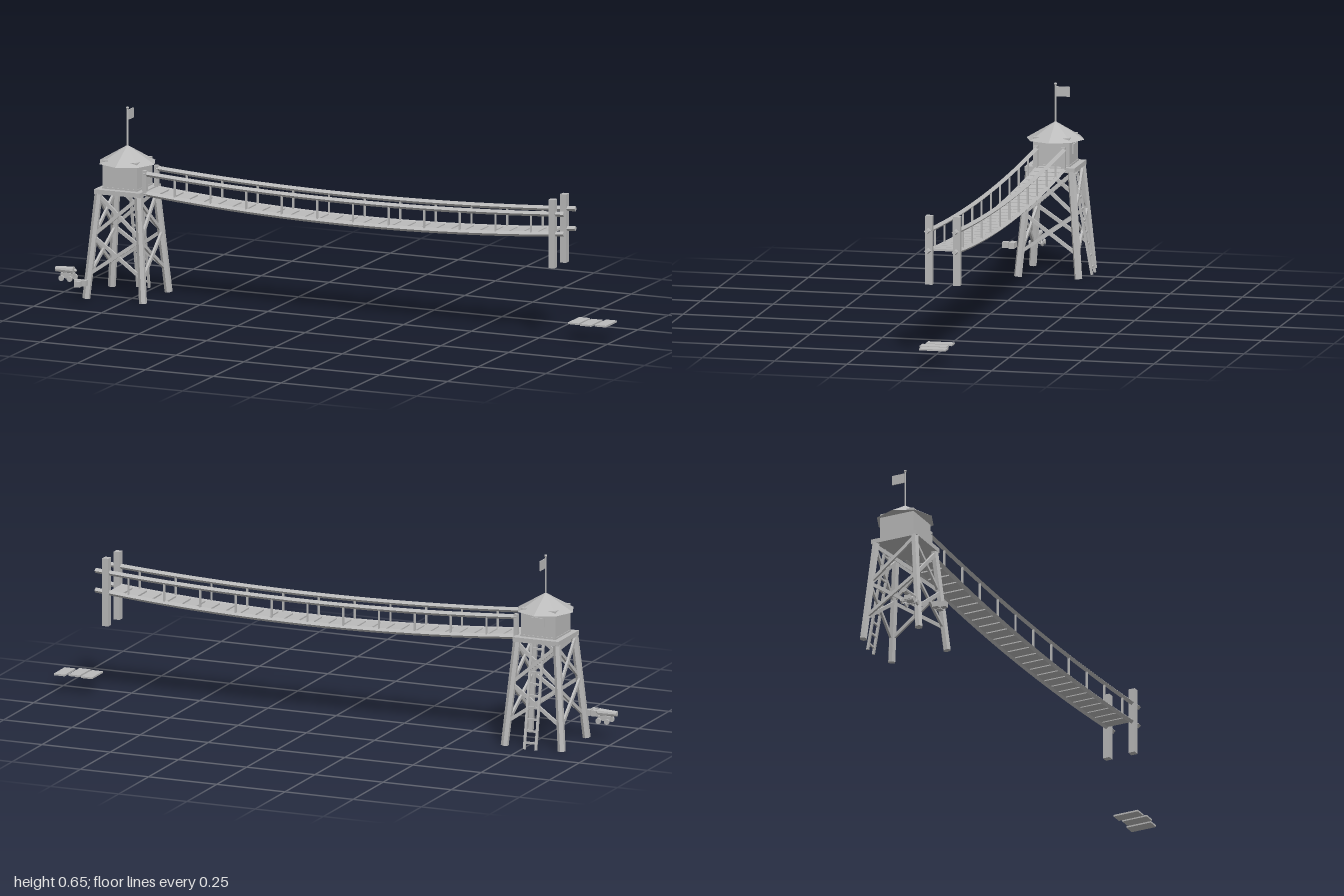
import * as THREE from 'three';

const grey = new THREE.MeshStandardMaterial({ color: 0xbbbbbb, flatShading: true });
grey.name = 'plain grey';
const V = (x, y, z) => new THREE.Vector3(x, y, z);

function add(parent, name, geometry, x = 0, y = 0, z = 0) {
  const m = new THREE.Mesh(geometry, grey);
  m.name = name;
  m.position.set(x, y, z);
  parent.add(m);
  return m;
}
const box = (parent, name, w, h, d, x, y, z) => add(parent, name, new THREE.BoxGeometry(w, h, d), x, y, z);

// Straight member between two points; sides = 0 gives a rectangular bar
function beam(parent, name, a, b, w, d = w, sides = 0) {
  const len = a.distanceTo(b);
  const geo = sides ? new THREE.CylinderGeometry(w / 2, w / 2, len, sides) : new THREE.BoxGeometry(w, len, d);
  const m = add(parent, name, geo);
  m.position.copy(a).add(b).multiplyScalar(0.5);
  m.quaternion.setFromUnitVectors(V(0, 1, 0), b.clone().sub(a).normalize());
  return m;
}

function buildTower() {
  const t = new THREE.Group();
  t.name = 'watchtower';
  t.position.set(-0.783, 0, -0.035);
  const spread = y => 0.1045 - 0.0315 * y / 0.36;

  // Splayed legs
  for (const sx of [-1, 1]) for (const sz of [-1, 1]) {
    const at = y => V(sx * spread(y), y, sz * spread(y));
    beam(t, 'leg', at(0), at(0.36), 0.027, 0.027, 6);
  }
  // Two tiers of cross bracing on each side
  for (let i = 0; i < 4; i++) {
    const side = new THREE.Group();
    side.name = 'braceSide';
    side.rotation.y = i * Math.PI / 2;
    t.add(side);
    for (const [y0, y1] of [[0.082, 0.21], [0.215, 0.352]]) for (const s of [-1, 1]) {
      beam(side, 'crossBrace', V(-s * spread(y0), y0, spread(y0) + s * 0.003),
        V(s * spread(y1), y1, spread(y1) + s * 0.003), 0.012, 0.008);
    }
  }
  // Platform, cabin and pointed roof
  box(t, 'platform', 0.168, 0.016, 0.172, 0, 0.365, 0);
  box(t, 'cabin', 0.126, 0.1, 0.126, 0, 0.42, 0);
  box(t, 'cabinSill', 0.13, 0.006, 0.13, 0, 0.376, 0);
  box(t, 'backWindow', 0.045, 0.032, 0.004, 0, 0.427, -0.065);
  add(t, 'roof', new THREE.ConeGeometry(0.1, 0.059, 8), 0, 0.4865, 0);

  // Flag
  add(t, 'flagPole', new THREE.CylinderGeometry(0.003, 0.003, 0.135, 8), 0, 0.575, 0);
  add(t, 'poleBall', new THREE.SphereGeometry(0.005, 10, 8), 0, 0.643, 0);
  box(t, 'flag', 0.003, 0.034, 0.046, 0, 0.618, -0.026);

  // Ladder leaning on the back
  const foot = -0.131, top = -0.066, h = 0.36;
  for (const s of [-1, 1]) beam(t, 'ladderRail', V(s * 0.021, 0.001, foot), V(s * 0.021, h, top), 0.008);
  for (let i = 0; i < 9; i++) {
    const k = (i + 0.6) / 9.2;
    box(t, 'ladderRung', 0.042, 0.007, 0.006, 0, h * k, foot + (top - foot) * k);
  }
  return t;
}

function buildBridge() {
  const b = new THREE.Group();
  b.name = 'hangingBridge';
  b.position.z = -0.0355;
  const x0 = -0.7, x1 = 0.846, mid = (x0 + x1) / 2, half = (x1 - x0) / 2;
  const sag = (x, low, high) => low + (high - low) * ((x - mid) / half) ** 2;
  const deckY = x => sag(x, 0.33, 0.366);
  const railY = x => sag(x, 0.406, 0.434);
  const r = 0.009;
  const diamond = new THREE.Shape([[r, 0], [0, r], [-r, 0], [0, -r]].map(p => new THREE.Vector2(...p)));

  for (const s of [-1, 1]) {
    const z = s * 0.0478;
    // Sagging diamond-section ropes
    for (const [name, f] of [['deckRope', deckY], ['handRope', railY]]) {
      const pts = Array.from({ length: 13 }, (_, i) => x0 + (x1 - x0) * i / 12).map(x => V(x, f(x), z));
      const extrudePath = new THREE.CatmullRomCurve3(pts);
      add(b, name, new THREE.ExtrudeGeometry(diamond, { steps: 24, extrudePath }));
    }
    // Uprights joining the ropes
    for (let i = 0; i < 11; i++) {
      const x = -0.587 + i * 0.1312;
      beam(b, 'upright', V(x, deckY(x), z), V(x, railY(x), z), 0.006);
    }
    box(b, 'endPost', 0.022, 0.235, 0.024, 0.805, 0.3645, z);
    box(b, 'towerPost', 0.014, 0.085, 0.014, -0.697, 0.402, z);
  }
  // Deck planks following the sag
  const n = 28;
  for (let i = 0; i < n; i++) {
    const x = -0.672 + i * 0.0535;
    const p = box(b, 'deckPlank', 0.046, 0.007, 0.09, x, deckY(x) + 0.002, 0);
    p.rotation.z = Math.atan(2 * 0.036 * (x - mid) / half ** 2);
  }
  return b;
}

// Small wheeled gun beside the tower
function buildGun() {
  const g = new THREE.Group();
  g.name = 'smallGun';
  g.position.set(-0.96, 0, 0.07);
  const barrel = add(g, 'barrel', new THREE.CylinderGeometry(0.009, 0.013, 0.066, 10), -0.006, 0.092, 0);
  barrel.rotation.z = Math.PI / 2;
  add(g, 'barrelKnob', new THREE.SphereGeometry(0.006, 8, 6), 0.032, 0.092, 0);
  box(g, 'carriage', 0.046, 0.016, 0.022, 0.006, 0.075, 0);
  for (const x of [-0.01, 0.021]) {
    const axle = add(g, 'axle', new THREE.CylinderGeometry(0.003, 0.003, 0.042, 6), x, 0.066, 0);
    axle.rotation.x = Math.PI / 2;
    for (const s of [-1, 1]) {
      const wheel = add(g, 'wheel', new THREE.CylinderGeometry(0.01, 0.01, 0.006, 10), x, 0.066, s * 0.021);
      wheel.rotation.x = Math.PI / 2;
    }
  }
  return g;
}

export function createModel() {
  const model = new THREE.Group();
  model.name = 'towerAndBridge';
  model.add(buildTower(), buildBridge(), buildGun());

  // Loose planks past the far end
  for (const [x, z] of [[0.877, -0.042], [0.926, -0.034], [0.976, -0.044]]) {
    box(model, 'loosePlank', 0.04, 0.006, 0.092, x, 0.059, z);
  }
  // Small crates
  for (const [x, z] of [[-0.889, 0.136], [-0.865, 0.136], [-0.877, 0.16]]) {
    box(model, 'crate', 0.02, 0.02, 0.02, x, 0.068, z);
  }
  return model;
}
